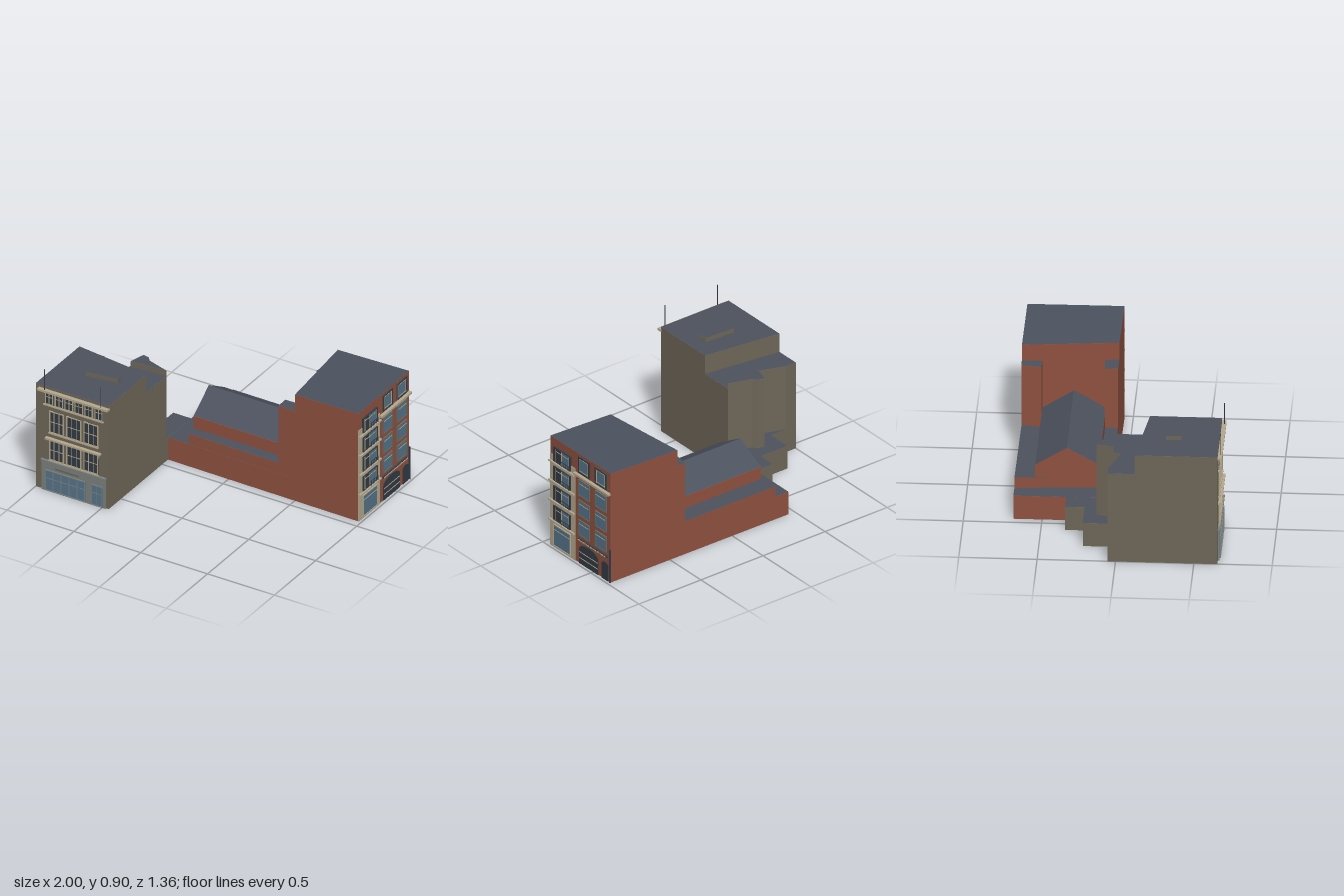
import * as THREE from 'three';

const mats = {};
const mat = (color) => (mats[color] ??= new THREE.MeshStandardMaterial({ color, side: THREE.DoubleSide, flatShading: true }));
const RED = 0x8f5140, STONE = 0x6e6658, SLATE = 0x4c525e, TAN = 0xb5a98e;
const GLASS = 0x56748a, DARK = 0x333b45, GREY = 0x7b827f, WOOD = 0x6b4a3c;

function add(parent, name, geometry, color) {
  const mesh = new THREE.Mesh(geometry, mat(color));
  mesh.name = name;
  parent.add(mesh);
  return mesh;
}

const outline = (pts) => new THREE.Shape(pts.map(([x, z]) => new THREE.Vector2(x, -z)));

// Upright block over an (x, z) footprint with a slate roof; rise(x) may slope the top
function block(parent, name, pts, y0, y1, color, rise = () => 0) {
  const g = new THREE.ExtrudeGeometry(outline(pts), { depth: y1 - y0, bevelEnabled: false });
  g.rotateX(-Math.PI / 2).translate(0, y0, 0);
  const roof = new THREE.ShapeGeometry(outline(pts));
  roof.rotateX(-Math.PI / 2).translate(0, y1 + 0.0015, 0);
  for (const geo of [g, roof]) {
    const p = geo.attributes.position;
    for (let i = 0; i < p.count; i++) if (p.getY(i) > y1 - 0.001) p.setY(i, p.getY(i) + rise(p.getX(i)));
    geo.computeVertexNormals();
  }
  add(parent, name, g, color);
  add(parent, name + 'Roof', roof, SLATE);
}

// Flat four-cornered panel
function quad(parent, name, [a, b, c, d], color) {
  const g = new THREE.BufferGeometry();
  g.setAttribute('position', new THREE.Float32BufferAttribute([a, b, c, a, c, d].flat(), 3));
  g.computeVertexNormals();
  add(parent, name, g, color);
}

// Box on a facade: u to the right, y up, from depth w0 to w1 outwards
function panel(f, name, u0, u1, y0, y1, w1, color, w0 = -0.005) {
  const g = new THREE.BoxGeometry(u1 - u0, y1 - y0, w1 - w0);
  return add(f, name, g.translate((u0 + u1) / 2, (y0 + y1) / 2, (w0 + w1) / 2), color);
}

// Framed window with vertical bars at the given fractions and horizontal bars likewise
function windowUnit(f, u0, u1, y0, y1, { glass = GLASS, frame = TAN, t = 0.006, vs = [], hs = [], bar = TAN } = {}) {
  const g = new THREE.Group();
  g.name = 'window';
  f.add(g);
  panel(g, 'glass', u0, u1, y0, y1, 0.003, glass);
  panel(g, 'frameLeft', u0, u0 + t, y0, y1, 0.008, frame);
  panel(g, 'frameRight', u1 - t, u1, y0, y1, 0.008, frame);
  panel(g, 'frameTop', u0 + t, u1 - t, y1 - t, y1, 0.008, frame);
  panel(g, 'frameBottom', u0 + t, u1 - t, y0, y0 + t, 0.008, frame);
  for (const v of vs) {
    const u = u0 + (u1 - u0) * v;
    panel(g, 'verticalBar', u - 0.002, u + 0.002, y0 + t, y1 - t, 0.006, bar);
  }
  for (const h of hs) {
    const y = y0 + (y1 - y0) * h;
    panel(g, 'crossBar', u0 + t, u1 - t, y - 0.002, y + 0.002, 0.0055, bar);
  }
}

// Opening with a rounded head
function arch(f, name, u0, u1, spring, top, color) {
  const s = new THREE.Shape();
  s.moveTo(u0, 0.002).lineTo(u1, 0.002).lineTo(u1, spring);
  s.absellipse((u0 + u1) / 2, spring, (u1 - u0) / 2, top - spring, 0, Math.PI, false);
  add(f, name, new THREE.ExtrudeGeometry(s, { depth: 0.004, bevelEnabled: false, curveSegments: 14 }), color);
}

function stoneBuilding() {
  const b = new THREE.Group();
  b.name = 'stoneBuilding';
  block(b, 'mainBlock', [[-1, 0.65], [-0.455, 0.65], [-0.455, 0.19], [-1, 0.12]], 0, 0.765, STONE);
  block(b, 'rearWing', [[-1, 0.12], [-0.455, 0.19], [-0.455, -0.05], [-0.61, -0.1], [-0.635, -0.13],
    [-0.68, -0.14], [-0.73, 0.02], [-0.9, -0.04], [-0.92, -0.05], [-1, -0.05]], 0, 0.63, STONE);
  block(b, 'stairHead', [[-0.71, -0.03], [-0.455, -0.05], [-0.61, -0.1], [-0.635, -0.13], [-0.68, -0.14]], 0.6, 0.67, STONE);
  block(b, 'rearAnnex', [[-0.94, -0.05], [-0.8, -0.05], [-0.8, -0.22], [-0.585, -0.22], [-0.585, -0.345],
    [-0.45, -0.345], [-0.456, 0.05], [-0.94, 0.05]], 0, 0.165, STONE);
  block(b, 'roofHatch', [[-0.78, 0.31], [-0.565, 0.32], [-0.55, 0.38], [-0.775, 0.41]], 0.76, 0.795, STONE);

  // Street front
  const f = new THREE.Group();
  f.name = 'stoneFacade';
  f.position.z = 0.65;
  b.add(f);
  panel(f, 'topCornice', -0.975, -0.45, 0.733, 0.748, 0.028, TAN);
  panel(f, 'topSill', -0.94, -0.49, 0.63, 0.638, 0.012, TAN);
  for (let i = 0; i < 6; i++) {
    const u = -0.928 + i * 0.074;
    windowUnit(f, u, u + 0.06, 0.638, 0.73, { glass: DARK, t: 0.005, vs: [0.5], hs: [0.6] });
  }
  for (const [y0, y1] of [[0.436, 0.596], [0.232, 0.382]]) {
    for (let i = 0; i < 3; i++) {
      const u = -0.896 + i * 0.128;
      windowUnit(f, u, u + 0.108, y0, y1, { glass: DARK, vs: [0.33, 0.67], hs: [0.5] });
    }
    panel(f, 'sill', -0.9, -0.528, y0 - 0.008, y0, 0.012, TAN);
  }
  panel(f, 'middleCornice', -0.92, -0.51, 0.385, 0.398, 0.024, TAN);

  // Shop front
  panel(f, 'shopSurround', -0.95, -0.475, 0, 0.222, 0.01, GREY);
  panel(f, 'shopCornice', -0.955, -0.47, 0.216, 0.226, 0.018, GREY);
  panel(f, 'shopBand', -0.85, -0.67, 0.172, 0.184, 0.012, STONE);
  const shop = new THREE.Group();
  shop.name = 'shopWindows';
  shop.position.z = 0.01;
  f.add(shop);
  windowUnit(shop, -0.922, -0.623, 0.005, 0.158, { frame: GREY, vs: [0.2, 0.4, 0.6, 0.8], hs: [0.6], bar: GREY });
  windowUnit(shop, -0.577, -0.493, 0.005, 0.158, { frame: GREY, vs: [0.5], hs: [0.6], bar: GREY });
  for (const u of [-0.925, -0.503]) {
    const pole = add(f, 'flagpole', new THREE.CylinderGeometry(0.0025, 0.0025, 0.16, 6), DARK);
    pole.position.set(u, 0.82, 0.018);
  }
  return b;
}

function brickBuilding() {
  const b = new THREE.Group();
  b.name = 'brickBuilding';
  block(b, 'base', [[-0.45, -0.683], [-0.45, -0.07], [0.98, -0.055], [0.975, -0.675]], 0, 0.165, RED);
  block(b, 'terrace', [[-0.345, -0.682], [-0.3, -0.071], [0.51, -0.061], [0.46, -0.678]], 0.165, 0.24, RED);
  block(b, 'tallBlock', [[0.44, -0.679], [0.5, -0.06], [0.98, -0.055], [0.975, -0.675]], 0.165, 0.785, RED,
    (x) => 0.015 * (x - 0.44) / 0.54);
  block(b, 'rearShaft', [[0.38, -0.68], [0.36, -0.55], [0.46, -0.55], [0.45, -0.68]], 0.24, 0.67, RED);
  block(b, 'frontShaft', [[0.375, -0.15], [0.375, -0.062], [0.505, -0.06], [0.5, -0.15]], 0.24, 0.665, RED);

  // Gabled hall: cross-section in (z, y), with a slightly skewed west end
  const west = (z) => -0.322 + 0.06 * (z + 0.35);
  const s = new THREE.Shape([[-0.55, 0.23], [-0.145, 0.23], [-0.145, 0.33], [-0.35, 0.45], [-0.55, 0.33]]
    .map(([z, y]) => new THREE.Vector2(z, y)));
  const g = new THREE.ExtrudeGeometry(s, { depth: 0.8, bevelEnabled: false });
  g.rotateY(-Math.PI / 2).translate(0.47, 0, 0);
  const p = g.attributes.position;
  for (let i = 0; i < p.count; i++) if (p.getX(i) < 0) p.setX(i, west(p.getZ(i)));
  g.computeVertexNormals();
  add(b, 'hall', g, RED);
  for (const z of [-0.145, -0.55]) {
    quad(b, 'hallRoof', [[west(z), 0.332, z], [0.47, 0.332, z], [0.49, 0.452, -0.35], [west(-0.35), 0.452, -0.35]], SLATE);
  }

  // Street front, turned to face +x so that u runs towards -z
  const f = new THREE.Group();
  f.name = 'brickFacade';
  f.position.x = 0.979;
  f.rotation.y = Math.PI / 2;
  b.add(f);
  panel(f, 'paleBay', 0.055, 0.312, 0, 0.675, 0.004, TAN);
  const bay = new THREE.Group();
  bay.name = 'bayWindows';
  bay.position.z = 0.004;
  f.add(bay);
  for (const y of [0.206, 0.352, 0.495, 0.637]) {
    windowUnit(bay, 0.095, 0.272, y, y + 0.105, { glass: DARK, frame: DARK, t: 0.004 });
    panel(bay, 'innerGlass', 0.18, 0.255, y + 0.006, y + 0.098, 0.0045, GLASS);
    for (const u of [0.12, 0.18, 0.255]) panel(bay, 'mullion', u - 0.002, u + 0.002, y + 0.004, y + 0.1, 0.006, TAN);
    panel(bay, 'transom', 0.12, 0.255, y + 0.077, y + 0.08, 0.0065, TAN);
    panel(bay, 'balconyRail', 0.185, 0.268, y + 0.032, y + 0.035, 0.014, DARK, 0.011);
    for (let i = 0; i < 5; i++) panel(bay, 'baluster', 0.186 + i * 0.02, 0.188 + i * 0.02, y, y + 0.034, 0.014, DARK, 0.011);
    panel(bay, 'ledge', 0.053, 0.313, y - 0.016, y - 0.006, 0.014, TAN);
  }
  windowUnit(bay, 0.095, 0.274, 0.013, 0.173, { hs: [0.75] });

  // Brick bay windows, the top pair in timber frames
  for (const [u0, u1] of [[0.35, 0.463], [0.522, 0.638]]) {
    for (const [y0, y1] of [[0.206, 0.32], [0.352, 0.465], [0.498, 0.615]]) {
      windowUnit(f, u0, u1, y0, y1, { hs: [0.75], frame: STONE, t: 0.005 });
    }
    panel(f, 'timberSurround', u0 - 0.007, u1 + 0.007, 0.662, 0.787, 0.002, WOOD);
    windowUnit(f, u0, u1, 0.666, 0.783, { frame: DARK, t: 0.009, vs: [0.13, 0.87], hs: [0.13, 0.87] });
  }
  panel(f, 'cornice', 0.312, 0.675, 0.64, 0.655, 0.02, TAN);
  panel(f, 'dentilBand', 0.35, 0.642, 0.168, 0.182, 0.008, DARK);
  for (let i = 0; i < 24; i++) panel(f, 'dentil', 0.352 + i * 0.0121, 0.358 + i * 0.0121, 0.171, 0.179, 0.012, TAN);
  arch(f, 'gateway', 0.354, 0.555, 0.105, 0.15, DARK);
  arch(f, 'door', 0.59, 0.658, 0.11, 0.13, DARK);
  for (const y of [0.045, 0.088]) panel(f, 'gateBar', 0.358, 0.551, y - 0.002, y + 0.002, 0.007, TAN);
  panel(f, 'drainpipe', 0.67, 0.677, 0, 0.24, 0.008, DARK);
  return b;
}

export function createModel() {
  const model = new THREE.Group();
  model.name = 'buildings';
  model.add(stoneBuilding(), brickBuilding());
  return model;
}
